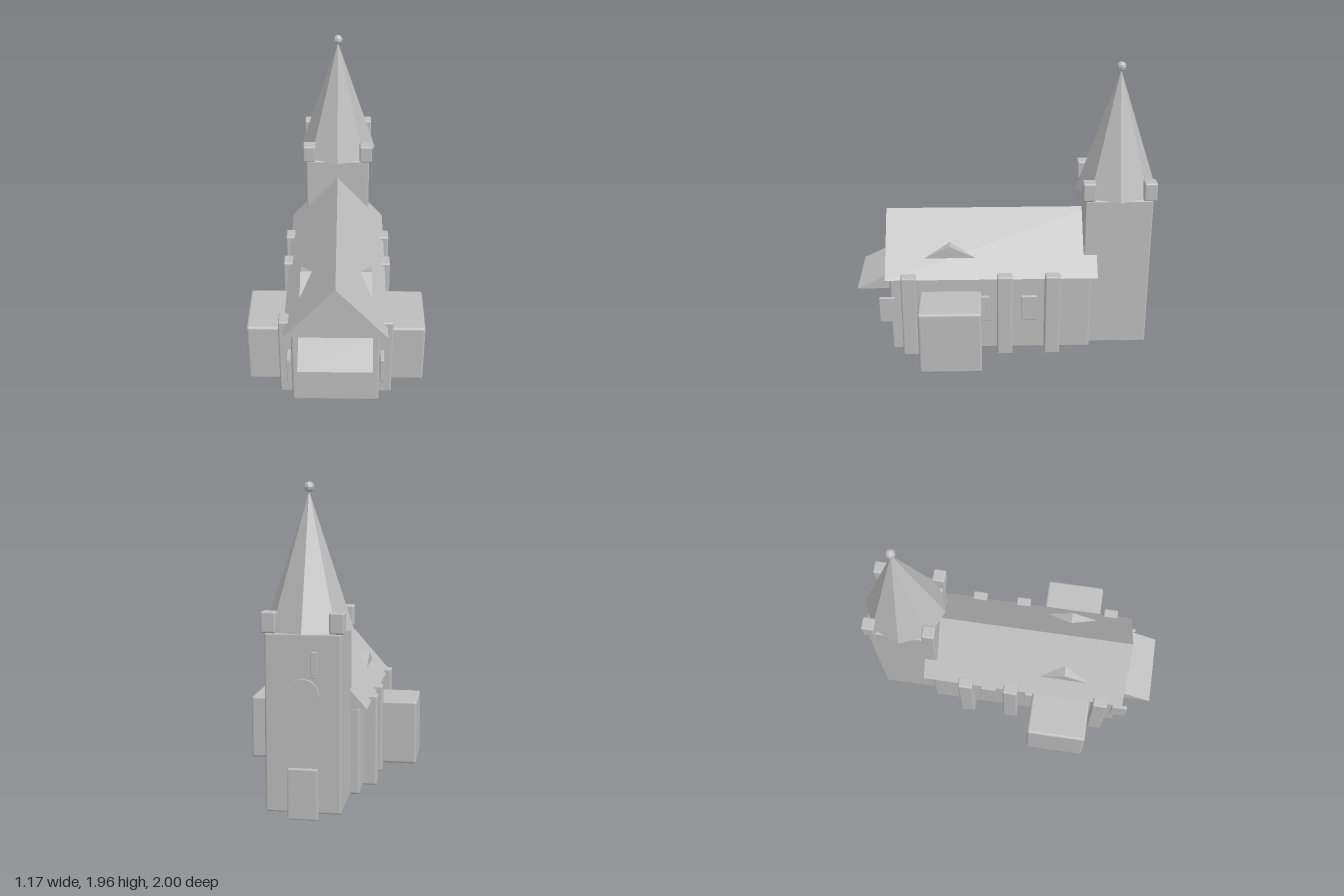
import * as THREE from 'three';
import { RoundedBoxGeometry } from 'three/addons/geometries/RoundedBoxGeometry.js';

export function createModel() {
  const church = new THREE.Group();
  church.name = 'church';
  const stone = new THREE.MeshStandardMaterial({ color: 0xbcbcbc });
  stone.name = 'grey stone';

  function add(name, geometry, x, y, z) {
    const mesh = new THREE.Mesh(geometry, stone);
    mesh.name = name;
    mesh.position.set(x, y, z);
    church.add(mesh);
    return mesh;
  }

  // Box with softened edges, given by its extents on each axis
  function block(name, [x0, x1], [y0, y1], [z0, z1], bevel = 0.012) {
    const geometry = new RoundedBoxGeometry(x1 - x0, y1 - y0, z1 - z0, 2, bevel);
    return add(name, geometry, (x0 + x1) / 2, (y0 + y1) / 2, (z0 + z1) / 2);
  }

  // Triangular gable prism with its ridge along z, base at y = 0
  function gable(halfWidth, height, length) {
    const shape = new THREE.Shape();
    shape.moveTo(-halfWidth, 0);
    shape.lineTo(halfWidth, 0);
    shape.lineTo(0, height);
    shape.closePath();
    return new THREE.ExtrudeGeometry(shape, { depth: length, bevelEnabled: false })
      .translate(0, 0, -length / 2);
  }

  // Main body
  block('nave', [-0.282, 0.282], [0.035, 0.59], [-0.56, 0.782], 0.015);
  block('transept', [-0.585, 0.585], [0.035, 0.477], [0.172, 0.582], 0.018);
  add('naveRoof', gable(0.33, 0.375, 1.402), 0, 0.59, 0.104);

  // Cross gables: roof dormers and the porch canopy
  add('dormers', gable(0.168, 0.083, 0.468).rotateY(Math.PI / 2), 0, 0.702, 0.378);
  add('porchCanopy', gable(0.22, 0.107, 0.466).rotateY(Math.PI / 2), 0, 0.482, 0.78);

  // Buttresses and side windows
  for (const side of [-1, 1]) {
    for (const z of [0.65, 0.018, -0.299]) {
      const b = block('buttress', [0.265, 0.367], [0.035, 0.622], [z - 0.051, z + 0.051]);
      b.position.x *= side;
    }
    for (const z of [0.8, 0.17, -0.145]) {
      const w = block('sideWindow', [0.283, 0.308], [0.265, 0.445], [z - 0.053, z + 0.053], 0.004);
      w.position.x *= side;
    }
  }

  // Tower with corner pinnacles
  const towerZ = -0.731;
  block('tower', [-0.225, 0.225], [0.035, 1.1], [towerZ - 0.222, towerZ + 0.222]);
  for (const x of [-0.2, 0.2]) {
    for (const z of [-0.198, 0.198]) {
      block('pinnacle', [x - 0.044, x + 0.044], [1.1, 1.225],
        [towerZ + z - 0.043, towerZ + z + 0.043]);
    }
  }

  // Octagonal spire with a faceted finial
  const spire = new THREE.ConeGeometry(0.269, 0.81, 8).toNonIndexed();
  spire.computeVertexNormals();
  add('spire', spire, 0, 1.505, towerZ);
  const ball = new THREE.SphereGeometry(0.032, 8, 6).toNonIndexed();
  ball.computeVertexNormals();
  add('finial', ball, 0, 1.932, towerZ);

  // Door, clock face and narrow plate on the back of the tower
  block('towerDoor', [-0.09, 0.09], [0, 0.307], [-0.977, -0.945], 0.008);
  const clock = new THREE.CylinderGeometry(0.1, 0.1, 0.03, 12).rotateX(Math.PI / 2);
  add('clockFace', clock, 0, 0.74, -0.96);
  block('clockHand', [-0.09, -0.053], [0.845, 1.0], [-0.988, -0.968], 0.004);

  return church;
}
